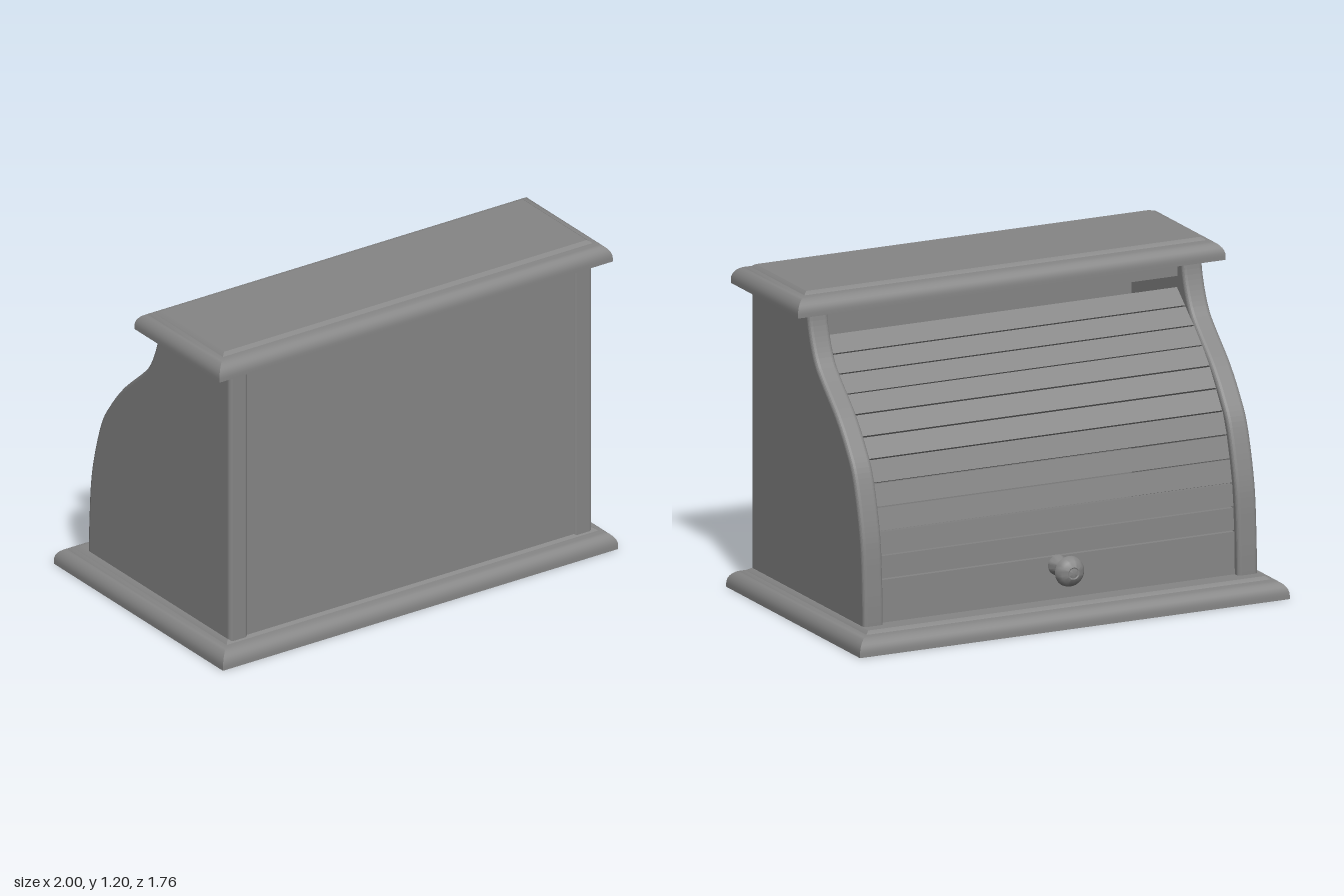
import * as THREE from 'three';
import { toCreasedNormals } from 'three/addons/utils/BufferGeometryUtils.js';

const material = new THREE.MeshStandardMaterial({ color: 0x858585 });
const crease = (geometry) => toCreasedNormals(geometry, 0.6);
const toCurve = (points) => new THREE.SplineCurve(points.map(([z, y]) => new THREE.Vector2(z, y)));

function add(parent, name, geometry, x = 0, y = 0, z = 0) {
  const mesh = new THREE.Mesh(geometry, material);
  mesh.name = name;
  mesh.position.set(x, y, z);
  parent.add(mesh);
  return mesh;
}

// Rectangular board with a moulded edge: rings of [inset, height] joined in a loop
function mouldedBoard(halfWidth, zMin, zMax, profile) {
  const rings = profile.map(([d, y]) => [
    [-halfWidth + d, y, zMin + d], [-halfWidth + d, y, zMax - d],
    [halfWidth - d, y, zMax - d], [halfWidth - d, y, zMin + d],
  ]);
  const positions = [];
  const quad = (a, b, c, d) => positions.push(...a, ...b, ...c, ...a, ...c, ...d);
  for (let i = 0; i < rings.length - 1; i++) {
    for (let j = 0; j < 4; j++) {
      const k = (j + 1) % 4;
      quad(rings[i][j], rings[i][k], rings[i + 1][k], rings[i + 1][j]);
    }
  }
  quad(...rings[rings.length - 1]);
  quad(...[...rings[0]].reverse());
  const geometry = new THREE.BufferGeometry();
  geometry.setAttribute('position', new THREE.Float32BufferAttribute(positions, 3));
  return crease(geometry);
}

// Quarter round, small ledge and chamfer
function edgeProfile() {
  const profile = [[0, 0], [0, 0.014]];
  for (let i = 1; i <= 8; i++) {
    const a = (i / 8) * Math.PI / 2;
    profile.push([0.052 * (1 - Math.cos(a)), 0.014 + 0.052 * Math.sin(a)]);
  }
  profile.push([0.056, 0.07], [0.066, 0.077]);
  return profile;
}

export function createModel() {
  const group = new THREE.Group();
  group.name = 'rollTopBox';
  const body = new THREE.Group();
  body.name = 'body';
  body.rotation.y = Math.PI / 6;
  group.add(body);

  // Base and lid boards
  add(body, 'base', mouldedBoard(0.852, -0.523, 0.523, edgeProfile()));
  add(body, 'lid', mouldedBoard(0.848, -0.03, 0.495, edgeProfile()), 0, 1.123, 0);

  // S-curved front edge of the sides, as (z, y)
  const sideCurve = toCurve([
    [-0.416, 0.05], [-0.413, 0.2], [-0.396, 0.4], [-0.342, 0.6], [-0.284, 0.7],
    [-0.202, 0.8], [-0.092, 0.9], [-0.044, 0.95], [-0.012, 1.01], [0.012, 1.08], [0.022, 1.15],
  ]);

  // Side panels with rounded edges
  const bevel = 0.015, thickness = 0.08;
  const shape = new THREE.Shape([
    new THREE.Vector2(0.466, 1.15), new THREE.Vector2(0.466, 0.05), ...sideCurve.getSpacedPoints(64),
  ].reverse());
  const side = new THREE.ExtrudeGeometry(shape, {
    depth: thickness - 2 * bevel, bevelEnabled: true, bevelThickness: bevel,
    bevelSize: bevel, bevelOffset: -bevel, bevelSegments: 5,
  });
  side.translate(0, 0, -(thickness / 2 - bevel));
  side.rotateY(-Math.PI / 2);
  add(body, 'leftSide', side, 0.742, 0, 0);
  add(body, 'rightSide', side, -0.742, 0, 0);

  // Back panel and the rail above the door
  add(body, 'backPanel', new THREE.BoxGeometry(1.42, 1.08, 0.04), 0, 0.6, 0.44);
  add(body, 'topRail', new THREE.BoxGeometry(1.42, 0.08, 0.03), 0, 1.1, 0.075);

  // Roll door: a taller bottom rail, then equal slats running up behind the top rail
  const door = new THREE.Group();
  door.name = 'rollDoor';
  body.add(door);
  const doorCurve = toCurve([
    [-0.388, 0.07], [-0.385, 0.2], [-0.368, 0.4], [-0.315, 0.6], [-0.258, 0.7],
    [-0.183, 0.8], [-0.1, 0.88], [-0.02, 0.95], [0.065, 1.02],
  ]);
  const length = doorCurve.getLength();
  const slats = 11, rail = 0.165, pitch = (length - rail) / slats, depth = 0.024;
  for (let i = 0; i <= slats; i++) {
    const height = i === 0 ? rail : pitch;
    const middle = i === 0 ? rail / 2 : rail + (i - 0.5) * pitch;
    const p = doorCurve.getPointAt(middle / length);
    const t = doorCurve.getTangentAt(middle / length);
    const slat = add(door, i === 0 ? 'doorRail' : 'slat',
      new THREE.BoxGeometry(1.42, height - 0.005, depth),
      0, p.y - t.x * depth / 2, p.x + t.y * depth / 2);
    slat.rotation.x = Math.atan2(t.x, t.y);
  }

  // Turned knob with a flared foot
  const knob = new THREE.LatheGeometry([
    [0.038, -0.01], [0.036, 0.012], [0.025, 0.03], [0.021, 0.055], [0.024, 0.08], [0.05, 0.085],
    [0.056, 0.092], [0.053, 0.106], [0.042, 0.12], [0.022, 0.13], [0.018, 0.128], [0, 0.132],
  ].map(([r, y]) => new THREE.Vector2(r, y)), 32);
  add(body, 'knob', crease(knob), 0, 0.2, -0.385).rotation.x = -Math.PI / 2;

  return group;
}
